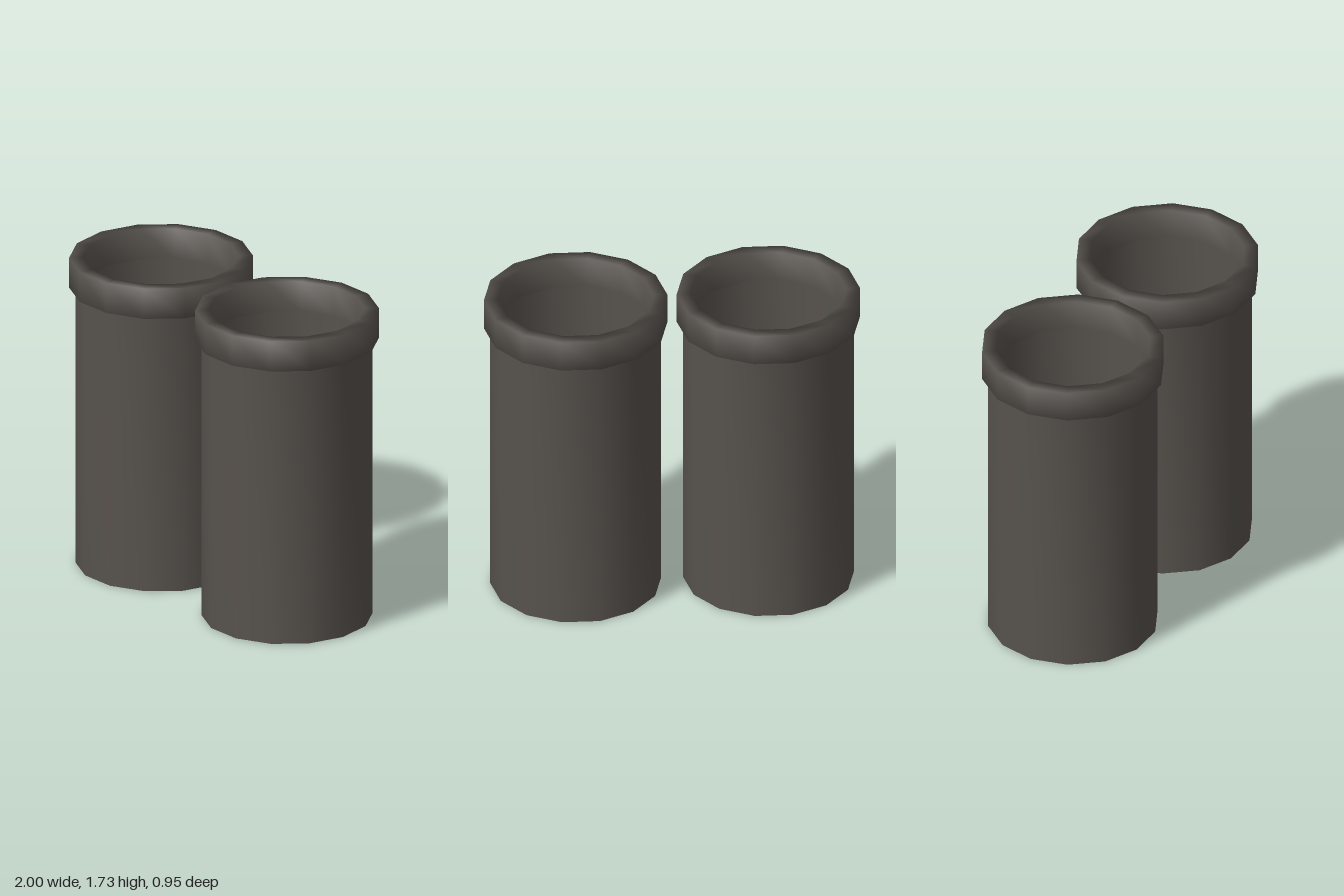
import * as THREE from 'three';
import { toCreasedNormals } from 'three/addons/utils/BufferGeometryUtils.js';

const SIDES = 14;

// Revolve a [radius, height] profile, with corners on the x axis
function revolve(profile) {
  const points = profile.map(([r, y]) => new THREE.Vector2(r, y));
  return new THREE.LatheGeometry(points, SIDES, Math.PI / 2);
}

export function createModel() {
  const model = new THREE.Group();
  model.name = 'twinPipes';
  const material = new THREE.MeshStandardMaterial({ color: 0x57524d, side: THREE.DoubleSide });

  // Thin hollow tube, open at both ends
  const tubeGeometry = toCreasedNormals(
    revolve([[0.435, 0], [0.455, 0], [0.455, 1.6], [0.435, 1.6], [0.435, 0]]), 0.8);

  // Collar around the mouth, softly shaded across its edges
  const collarGeometry = revolve(
    [[0.415, 1.56], [0.4875, 1.56], [0.4875, 1.73], [0.415, 1.73], [0.415, 1.56]]);

  for (const [side, sign] of [['left', 1], ['right', -1]]) {
    const pipe = new THREE.Group();
    pipe.name = `${side}Pipe`;
    pipe.position.x = sign * 0.5125;

    const tube = new THREE.Mesh(tubeGeometry, material);
    tube.name = `${side}Tube`;
    const collar = new THREE.Mesh(collarGeometry, material);
    collar.name = `${side}Collar`;

    pipe.add(tube, collar);
    model.add(pipe);
  }
  return model;
}
